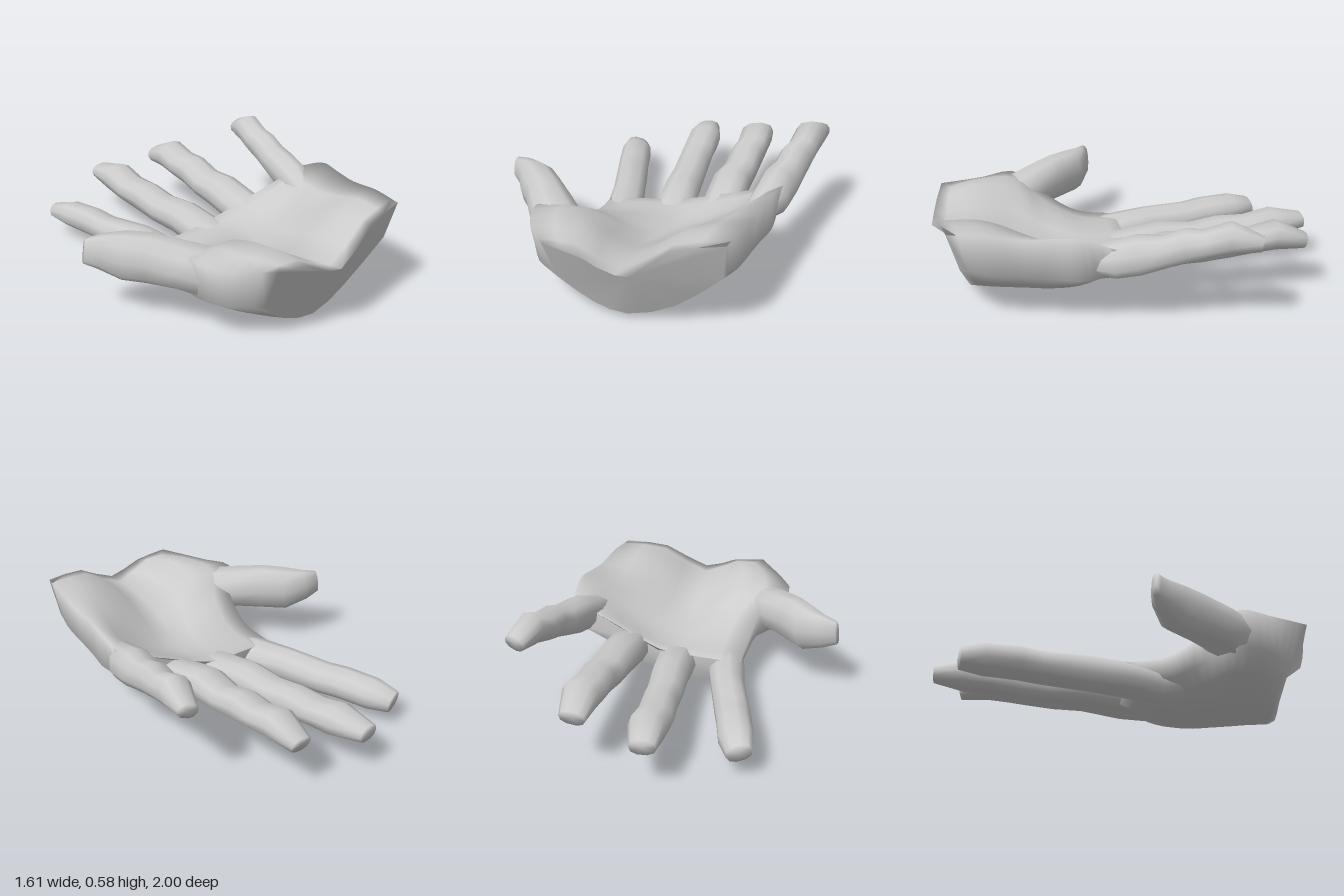
import * as THREE from 'three';

const material = new THREE.MeshStandardMaterial({ color: 0xcccccc });

// Skins a list of closed rings (arrays of Vector3) and closes both ends
function skin(name, rings) {
  const n = rings[0].length;
  const pts = rings.flat();
  const tris = [];
  for (let i = 0; i < rings.length - 1; i++) {
    for (let j = 0; j < n; j++) {
      const a = i * n + j, b = i * n + (j + 1) % n;
      tris.push([a, b, b + n], [a, b + n, a + n]);
    }
  }
  const close = (start, flip) => {
    const centre = new THREE.Vector3();
    for (let j = 0; j < n; j++) centre.addScaledVector(pts[start + j], 1 / n);
    const c = pts.push(centre) - 1;
    for (let j = 0; j < n; j++) {
      const a = start + j, b = start + (j + 1) % n;
      tris.push(flip ? [c, b, a] : [c, a, b]);
    }
  };
  close(0, true);
  close((rings.length - 1) * n, false);

  // Turn the faces outward whichever way the rings run
  const cross = new THREE.Vector3();
  const volume = tris.reduce((sum, [a, b, c]) =>
    sum + pts[a].dot(cross.crossVectors(pts[b], pts[c])), 0);
  if (volume < 0) tris.forEach((t) => t.reverse());

  const geometry = new THREE.BufferGeometry().setFromPoints(pts);
  geometry.setIndex(tris.flat());
  geometry.computeVertexNormals();
  const mesh = new THREE.Mesh(geometry, material);
  mesh.name = name;
  return mesh;
}

// Finger from stations [x, y, z, half width, half thickness], rolled about its length
function digit(name, roll, stations, sides = 10) {
  const at = (i) => new THREE.Vector3(...stations[i].slice(0, 3));
  const last = stations.length - 1;
  const square = (v) => Math.sign(v) * Math.abs(v) ** 0.85;
  const rings = stations.map(([, , , w, h], i) => {
    const along = at(Math.min(i + 1, last)).sub(at(Math.max(i - 1, 0))).normalize();
    const side = along.clone().cross(new THREE.Vector3(0, 1, 0)).normalize();
    const up = side.clone().cross(along);
    return Array.from({ length: sides }, (_, j) => {
      const a = (j / sides) * Math.PI * 2;
      const u = w * square(Math.cos(a)), v = h * square(Math.sin(a));
      return at(i)
        .addScaledVector(side, u * Math.cos(roll) - v * Math.sin(roll))
        .addScaledVector(up, u * Math.sin(roll) + v * Math.cos(roll));
    });
  });
  return skin(name, rings);
}

// Evenly spaced points on a smooth curve
const sample = (points, count) => {
  const curve = new THREE.CatmullRomCurve3(points);
  return Array.from({ length: count }, (_, i) => curve.getPoint(i / (count - 1)));
};

// Cupped palm: rows from wrist to finger roots. x and z are given at the thumb
// side, middle and little finger side; top and low are heights across the row.
function palm() {
  const rows = [
    { x: [-0.31, 0.05, 0.53], z: [0.95, 0.995, 0.9],
      top: [0.43, 0.41, 0.35, 0.485, 0.52], low: [0.2, 0.065, 0.035, 0.11, 0.32] },
    { x: [-0.46, 0.04, 0.57], z: [0.74, 0.74, 0.72],
      top: [0.39, 0.455, 0.31, 0.48, 0.52], low: [0.2, 0.065, 0.03, 0.1, 0.3] },
    { x: [-0.5, 0.05, 0.6], z: [0.55, 0.53, 0.53],
      top: [0.4, 0.41, 0.25, 0.4, 0.5], low: [0.2, 0.06, 0.03, 0.09, 0.29] },
    { x: [-0.37, 0.08, 0.62], z: [0.41, 0.4, 0.4],
      top: [0.33, 0.31, 0.23, 0.35, 0.51], low: [0.18, 0.05, 0.03, 0.09, 0.28] },
    { x: [-0.315, 0.16, 0.65], z: [0.22, 0.22, 0.27],
      top: [0.22, 0.245, 0.225, 0.33, 0.51], low: [0.11, 0.02, 0.045, 0.13, 0.28] },
    { x: [-0.3, 0.14, 0.65], z: [0, -0.01, 0.1],
      top: [0.19, 0.21, 0.24, 0.34, 0.44], low: [0.11, 0.08, 0.11, 0.21, 0.3] },
  ];
  const spread = ([a, b, c], k) =>
    k < 2 ? THREE.MathUtils.lerp(a, b, k / 2) : THREE.MathUtils.lerp(b, c, k / 2 - 1);
  const rings = rows.map(({ x, z, top, low }, i) => {
    const tilt = 0.4 * 0.2 ** i; // the back of the wrist is cut away
    const upper = top.map((y, k) => new THREE.Vector3(spread(x, k), y, spread(z, k)));
    const lower = low.map((y, k) => new THREE.Vector3(
      spread(x, k) - 0.01 * (k - 2), y, spread(z, k) - tilt * (0.45 - y)));
    return [...sample(upper, 9), ...sample(lower, 9).reverse()];
  });

  // Smooth the rows lengthwise
  const strands = rings[0].map((_, j) => sample(rings.map((ring) => ring[j]), 19));
  return skin('palm', strands[0].map((_, i) => strands.map((strand) => strand[i])));
}

export function createModel() {
  const hand = new THREE.Group();
  hand.name = 'hand';
  hand.add(
    palm(),
    digit('thumb', 0, [
      [-0.28, 0.27, 0.66, 0.07, 0.09], [-0.38, 0.29, 0.555, 0.125, 0.12],
      [-0.465, 0.315, 0.45, 0.12, 0.115], [-0.56, 0.33, 0.32, 0.1, 0.125],
      [-0.64, 0.33, 0.22, 0.098, 0.122], [-0.73, 0.35, 0.145, 0.055, 0.09],
      [-0.8, 0.36, 0.115, 0.025, 0.065],
    ]),
    digit('indexFinger', -0.3, [
      [-0.17, 0.13, 0.32, 0.05, 0.05], [-0.2, 0.105, 0.19, 0.095, 0.095],
      [-0.225, 0.125, 0.02, 0.1, 0.08], [-0.26, 0.14, -0.18, 0.09, 0.085],
      [-0.315, 0.14, -0.42, 0.09, 0.07], [-0.34, 0.15, -0.53, 0.088, 0.075],
      [-0.375, 0.15, -0.7, 0.088, 0.07], [-0.405, 0.14, -0.815, 0.065, 0.045],
    ]),
    digit('middleFinger', 0.05, [
      [0.065, 0.12, 0.25, 0.06, 0.05], [0.055, 0.152, 0.03, 0.11, 0.085],
      [0.045, 0.185, -0.2, 0.1, 0.088], [0.035, 0.18, -0.38, 0.095, 0.078],
      [0.03, 0.2, -0.53, 0.092, 0.083], [0.022, 0.21, -0.68, 0.095, 0.068],
      [0.025, 0.235, -0.82, 0.095, 0.08], [0.01, 0.235, -0.995, 0.065, 0.04],
    ]),
    digit('ringFinger', 0.2, [
      [0.32, 0.17, 0.25, 0.06, 0.05], [0.32, 0.222, 0.03, 0.11, 0.083],
      [0.325, 0.27, -0.2, 0.105, 0.085], [0.34, 0.268, -0.36, 0.097, 0.07],
      [0.35, 0.3, -0.5, 0.094, 0.08], [0.357, 0.305, -0.62, 0.094, 0.065],
      [0.362, 0.33, -0.74, 0.096, 0.075], [0.365, 0.29, -0.895, 0.065, 0.042],
    ]),
    digit('littleFinger', 0.4, [
      [0.52, 0.34, 0.3, 0.05, 0.05], [0.595, 0.37, 0.11, 0.09, 0.095],
      [0.615, 0.395, 0, 0.09, 0.1], [0.645, 0.42, -0.12, 0.085, 0.08],
      [0.665, 0.455, -0.22, 0.083, 0.083], [0.685, 0.468, -0.31, 0.08, 0.07],
      [0.71, 0.505, -0.42, 0.08, 0.08], [0.75, 0.48, -0.56, 0.055, 0.04],
    ]),
  );
  return hand;
}
